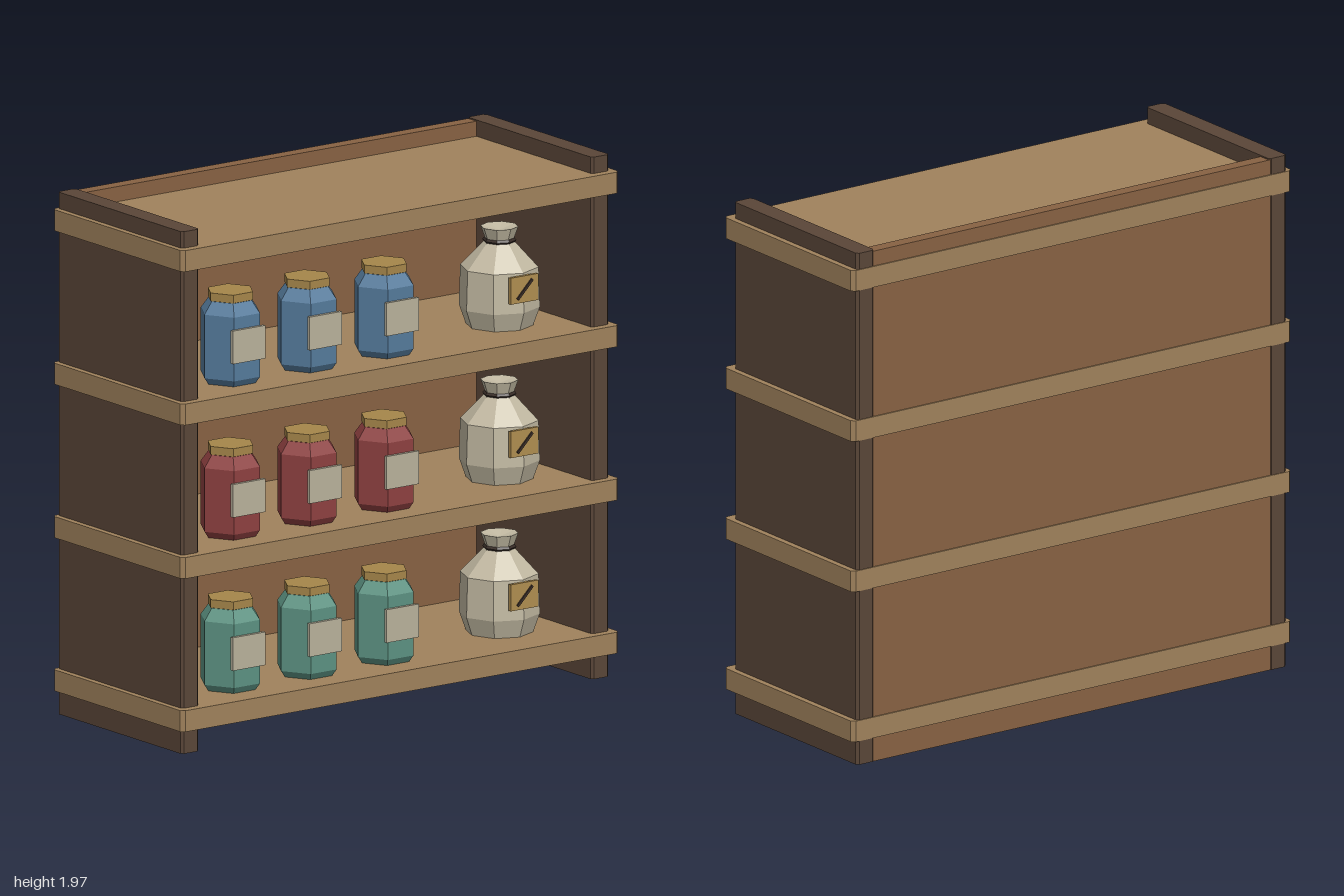
import * as THREE from 'three';

const mat = (color) => new THREE.MeshStandardMaterial({ color, flatShading: true, side: THREE.DoubleSide });
const wood = { side: mat(0x5a4638), shelf: mat(0xa0825c), back: mat(0x886243) };
const cork = mat(0xa6864a);
const paper = mat(0xb9b29c);
const cloth = mat(0xc2b9a2);
const dark = mat(0x382c26);
const patchMat = mat(0xb08e50);

function add(parent, name, geometry, material, x = 0, y = 0, z = 0) {
  const mesh = new THREE.Mesh(geometry, material);
  mesh.name = name;
  mesh.position.set(x, y, z);
  parent.add(mesh);
  return mesh;
}

// Upright board with chamfered vertical corners, standing on y = 0
function board(w, h, d, c) {
  const a = w / 2, b = d / 2;
  const outline = [[-a + c, -b], [a - c, -b], [a, -b + c], [a, b - c],
    [a - c, b], [-a + c, b], [-a, b - c], [-a, -b + c]];
  const shape = new THREE.Shape(outline.map(([x, y]) => new THREE.Vector2(x, y)));
  return new THREE.ExtrudeGeometry(shape, { depth: h, bevelEnabled: false }).rotateX(-Math.PI / 2);
}

// Faceted turned form; profile is [radius, height] pairs from the bottom up
function turned(profile, sides, turn) {
  const points = profile.map(([r, y]) => new THREE.Vector2(r, y));
  return new THREE.LatheGeometry(points, sides).rotateY(turn);
}

// Hexagonal jar with a cork lid and a square label
function jar(glass) {
  const g = new THREE.Group();
  g.name = 'jar';
  const turn = Math.PI / 6;
  add(g, 'jarBody', turned([[0, 0], [0.1, 0], [0.118, 0.025], [0.118, 0.265], [0.085, 0.31], [0, 0.31]], 6, turn), glass);
  add(g, 'jarNeck', turned([[0.072, 0.29], [0.072, 0.32]], 6, turn), cork);
  add(g, 'jarLid', turned([[0, 0.312], [0.09, 0.312], [0.09, 0.343], [0, 0.343]], 6, turn), cork);
  add(g, 'jarLabel', new THREE.BoxGeometry(0.148, 0.125, 0.014), paper, 0, 0.157, 0.108);
  return g;
}

// Tied sack with a stitched patch
function sack() {
  const g = new THREE.Group();
  g.name = 'sack';
  const body = [[0, 0], [0.125, 0], [0.15, 0.07], [0.145, 0.22], [0.06, 0.31], [0.052, 0.32], [0.07, 0.37], [0, 0.355]];
  add(g, 'sackBody', turned(body, 8, 0), cloth);
  add(g, 'sackTie', new THREE.TorusGeometry(0.054, 0.009, 5, 8).rotateX(Math.PI / 2), dark, 0, 0.319, 0);
  add(g, 'sackPatch', new THREE.BoxGeometry(0.125, 0.1, 0.014), patchMat, 0, 0.162, 0.147);
  const stitch = add(g, 'patchStitch', new THREE.BoxGeometry(0.095, 0.01, 0.008), dark, 0, 0.162, 0.156);
  stitch.rotation.z = Math.PI / 4;
  return g;
}

export function createModel() {
  const model = new THREE.Group();
  model.name = 'stockedShelf';

  // Case: two sides and a back
  for (const s of [-1, 1]) {
    add(model, s > 0 ? 'leftSide' : 'rightSide', board(0.08, 1.97, 0.76, 0.01), wood.side, s * 0.937, 0, -0.015);
  }
  add(model, 'backPanel', new THREE.BoxGeometry(1.81, 1.965, 0.052), wood.back, 0, 0.9825, -0.367);

  // Shelves run past the sides
  const shelfBottoms = [0.092, 0.67, 1.249, 1.828];
  for (const y of shelfBottoms) {
    add(model, 'shelf', board(2, 0.08, 0.797, 0.014), wood.shelf, 0, y, 0);
  }

  // Three jars and one sack on each of the lower shelves
  [0x5c9282, 0x8e4040, 0x557b9c].forEach((color, row) => {
    const glass = mat(color);
    const y = shelfBottoms[row] + 0.08;
    for (const x of [-0.64, -0.29, 0.062]) {
      const j = jar(glass);
      j.position.set(x, y, 0.21);
      model.add(j);
    }
    const s = sack();
    s.position.set(0.657, y, 0.12);
    model.add(s);
  });

  return model;
}
